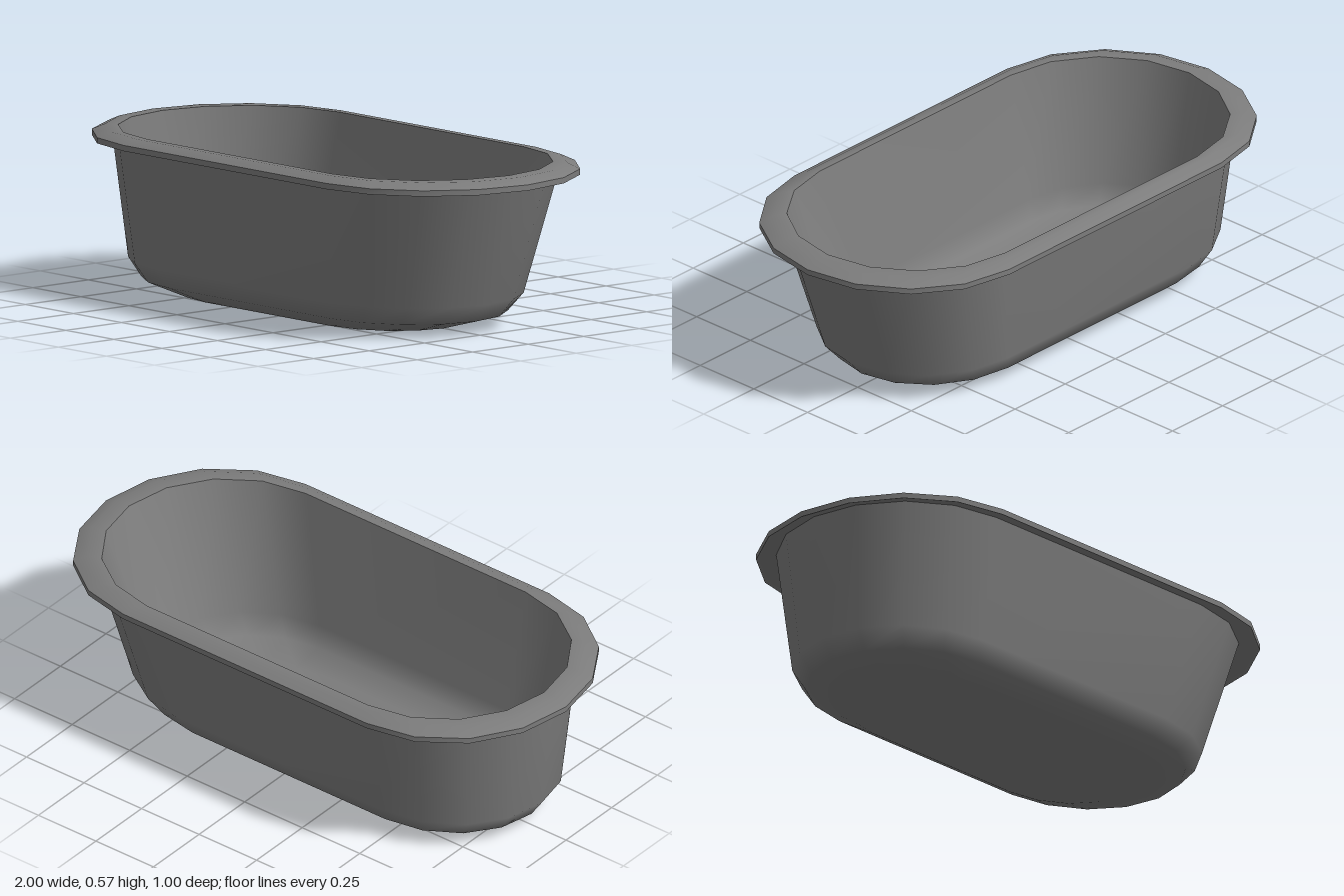
import * as THREE from 'three';

const SIDES = 8; // facets on each rounded end

// One oblong cross-section: left end x0, right end x1, half width z, height y
function ring([x0, x1, z, y]) {
  const centre = (x0 + x1) / 2, half = (x1 - x0) / 2, pts = [];
  for (const end of [1, -1]) {
    for (let i = 0; i <= SIDES; i++) {
      const a = -Math.PI / 2 + (Math.PI * i) / SIDES;
      pts.push(centre + half * end * (0.53 + 0.47 * Math.cos(a)), y, z * end * Math.sin(a));
    }
  }
  return pts;
}

// Smooth skin through a list of cross-sections
function skin(name, sections, material) {
  const n = 2 * (SIDES + 1), index = [];
  for (let r = 0; r < sections.length - 1; r++) {
    for (let i = 0; i < n; i++) {
      const a = r * n + i, b = r * n + ((i + 1) % n);
      index.push(a, a + n, b, b, a + n, b + n);
    }
  }
  const geometry = new THREE.BufferGeometry();
  geometry.setAttribute('position', new THREE.Float32BufferAttribute(sections.flatMap(ring), 3));
  geometry.setIndex(index);
  geometry.computeVertexNormals();
  const mesh = new THREE.Mesh(geometry, material);
  mesh.name = name;
  return mesh;
}

export function createModel() {
  const group = new THREE.Group();
  group.name = 'bathtub';
  const material = new THREE.MeshStandardMaterial({ color: 0x7c7c7c });

  // Shared edges of the rim
  const neck = [-0.939, 0.934, 0.437, 0.55];
  const rimLow = [-1, 1, 0.5, 0.53];
  const rimHigh = [-1, 1, 0.5, 0.55];
  const lip = [-0.905, 0.9, 0.433, 0.57];

  // Outside, from the middle of the base up to the rim; the right end slopes more
  group.add(skin('outerShell', [
    [-0.06, -0.06, 0, 0],
    [-0.68, 0.56, 0.256, 0],
    [-0.85, 0.73, 0.335, 0.045],
    [-0.895, 0.79, 0.371, 0.11],
    neck,
  ], material));

  // Overhanging rim: hollowed underside, edge and bevelled top
  const rim = new THREE.Group();
  rim.name = 'rim';
  rim.add(
    skin('rimUnderside', [neck, [-0.955, 0.955, 0.46, 0.55], rimLow], material),
    skin('rimEdge', [rimLow, rimHigh], material),
    skin('rimTop', [rimHigh, [-0.955, 0.955, 0.462, 0.57], lip], material),
  );
  group.add(rim);

  // Inside, from the lip down to the middle of the floor
  group.add(skin('basin', [
    lip,
    [-0.835, 0.718, 0.345, 0.125],
    [-0.785, 0.66, 0.308, 0.065],
    [-0.63, 0.51, 0.235, 0.022],
    [-0.06, -0.06, 0, 0.022],
  ], material));

  return group;
}
